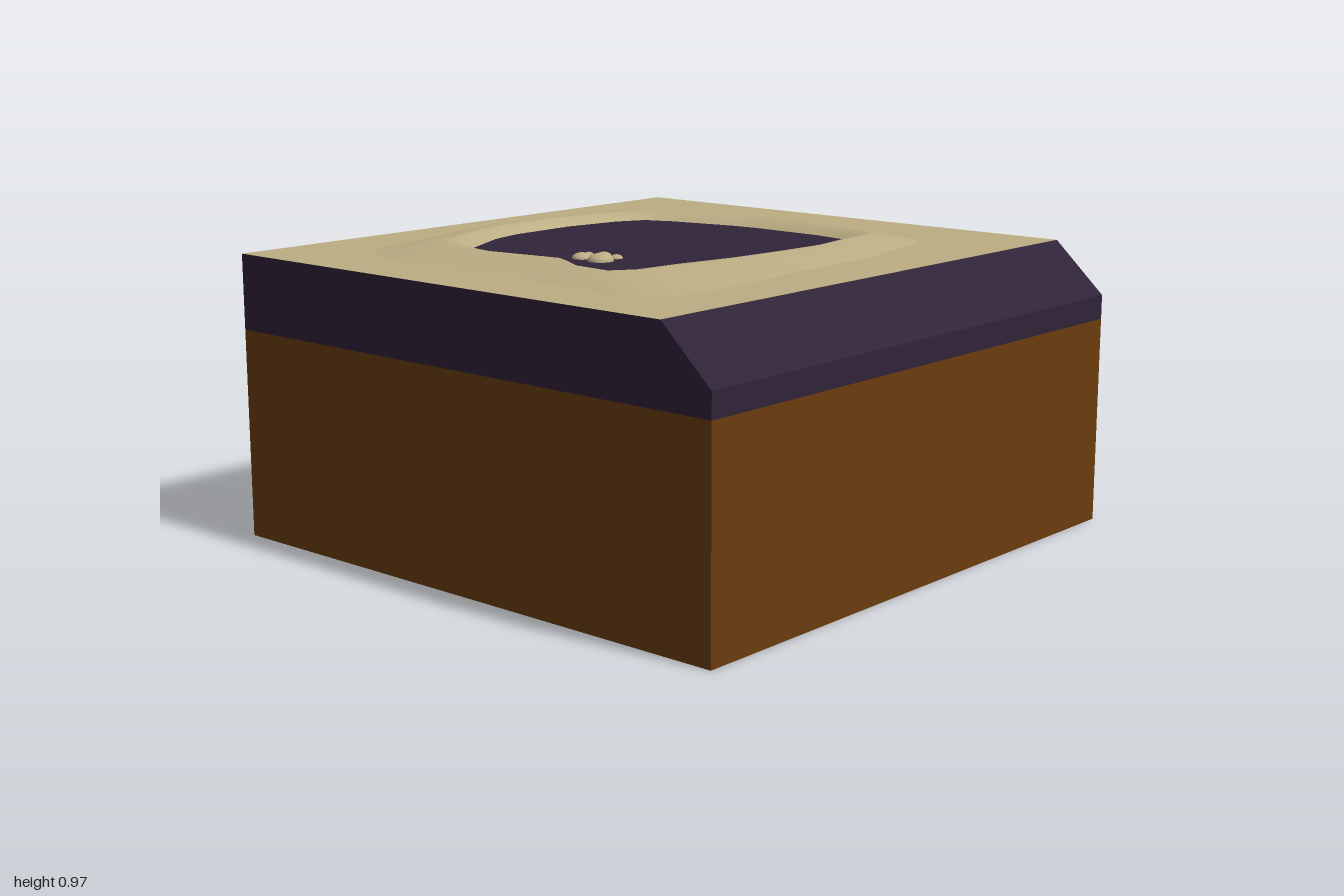
import * as THREE from 'three';

const W = 0.99, D = 1, BAND = 0.69, TOP = 0.938, CHAMFER_X = 0.81, CHAMFER_Y = 0.77;

const mat = (name, color) => {
  const m = new THREE.MeshStandardMaterial({ color, side: THREE.DoubleSide });
  m.name = name;
  return m;
};

// Paired points [innerX, innerZ, outerX, outerZ] around the pool and its rim
const RIM = [
  [-0.55, -0.44, -0.70, -0.65], [-0.45, -0.48, -0.60, -0.73], [-0.22, -0.53, -0.27, -0.82],
  [-0.12, -0.54, -0.08, -0.81], [0.15, -0.535, 0.20, -0.76], [0.30, -0.51, 0.46, -0.69],
  [0.34, -0.45, 0.50, -0.64], [0.35, -0.32, 0.54, -0.42], [0.365, -0.20, 0.58, -0.25],
  [0.35, -0.02, 0.58, 0.0], [0.32, 0.17, 0.59, 0.25], [0.26, 0.36, 0.61, 0.50],
  [0.235, 0.51, 0.61, 0.70], [0.20, 0.575, 0.50, 0.80], [0.11, 0.565, 0.20, 0.79],
  [-0.02, 0.48, 0.0, 0.75], [-0.26, 0.52, -0.36, 0.80], [-0.41, 0.495, -0.58, 0.77],
  [-0.50, 0.45, -0.74, 0.66], [-0.60, 0.25, -0.80, 0.40], [-0.63, 0.12, -0.87, 0.12],
  [-0.635, -0.13, -0.84, -0.13], [-0.60, -0.34, -0.75, -0.45],
];

// Cross-section of the rim: [blend from inner to outer outline, height]
const PROFILE = [[0, 0.941], [0.1, 0.957], [0.22, 0.969], [0.32, 0.971], [0.6, 0.958], [1, TOP]];

function rimGeometry() {
  const pos = [], idx = [], n = RIM.length;
  for (const [t, y] of PROFILE)
    for (const [ix, iz, ox, oz] of RIM)
      pos.push(ix + (ox - ix) * t, y, iz + (oz - iz) * t);
  for (let r = 0; r < PROFILE.length - 1; r++)
    for (let i = 0; i < n; i++) {
      const a = r * n + i, b = r * n + (i + 1) % n, c = a + n, d = b + n;
      idx.push(a, b, c, b, d, c);
    }
  const g = new THREE.BufferGeometry();
  g.setAttribute('position', new THREE.Float32BufferAttribute(pos, 3));
  // Wind so that faces look upwards
  g.setIndex(idx.reverse());
  g.computeVertexNormals();
  return g;
}

export function createModel() {
  const group = new THREE.Group();
  const brown = mat('brown earth', 0x6a3c0e);
  const purple = mat('dark purple', 0x302439);
  const sand = mat('sand', 0xbcad83);

  const add = (name, geometry, material) => {
    const mesh = new THREE.Mesh(geometry, material);
    mesh.name = name;
    group.add(mesh);
    return mesh;
  };

  // Upright panel between two heights, facing outwards
  const panel = (name, width, y0, y1, dist, angle, material) => {
    const g = new THREE.PlaneGeometry(width, y1 - y0);
    g.translate(0, (y0 + y1) / 2, dist).rotateY(angle);
    add(name, g, material);
  };

  // Hollow lower walls, open underneath
  panel('lowerFrontWall', 2 * W, 0, BAND, D, 0, brown);
  panel('lowerLeftWall', 2 * D, 0, BAND, W, Math.PI / 2, brown);
  panel('lowerBackWall', 2 * W, 0, BAND, D, Math.PI, brown);
  panel('lowerRightWall', 2 * D, 0, BAND, W, -Math.PI / 2, brown);

  // Upper band with one cut-off corner
  panel('upperRightWall', 2 * D, BAND, TOP, W, -Math.PI / 2, purple);
  panel('upperLeftWall', 2 * D, BAND, CHAMFER_Y, W, Math.PI / 2, purple);
  const outline = [[-W, BAND], [W, BAND], [W, CHAMFER_Y], [CHAMFER_X, TOP], [-W, TOP]];
  for (const [name, side] of [['upperFrontWall', 1], ['upperBackWall', -1]]) {
    const shape = new THREE.Shape(outline.map(([x, y]) => new THREE.Vector2(x * side, y)));
    const g = new THREE.ShapeGeometry(shape);
    if (side < 0) g.rotateY(Math.PI);
    g.translate(0, 0, D * side);
    add(name, g, purple);
  }
  const run = W - CHAMFER_X, rise = TOP - CHAMFER_Y;
  const slope = new THREE.PlaneGeometry(Math.hypot(run, rise), 2 * D);
  slope.rotateX(-Math.PI / 2).rotateZ(-Math.atan2(rise, run));
  slope.translate((W + CHAMFER_X) / 2, (TOP + CHAMFER_Y) / 2, 0);
  add('slopedEdge', slope, purple);

  // Sandy top sheet
  const top = new THREE.PlaneGeometry(W + CHAMFER_X, 2 * D);
  top.rotateX(-Math.PI / 2).translate((CHAMFER_X - W) / 2, TOP, 0);
  add('sandTop', top, sand);

  // Raised rim and the dark pool inside it
  add('poolRim', rimGeometry(), sand);
  const poolShape = new THREE.Shape(RIM.map(([x, z]) => new THREE.Vector2(x, -z)));
  const pool = new THREE.ShapeGeometry(poolShape);
  pool.rotateX(-Math.PI / 2).translate(0, 0.942, 0);
  add('pool', pool, purple);

  // Cluster of pebbles in the pool: [x, z, radius]
  const pebbles = [
    [0, 0.372, 0.042], [-0.082, 0.372, 0.032], [-0.055, 0.3, 0.026],
    [-0.12, 0.3, 0.015], [0, 0.3, 0.021], [-0.062, 0.335, 0.014],
  ];
  for (const [x, z, r] of pebbles) {
    const pebble = add('pebble', new THREE.SphereGeometry(r, 20, 12), sand);
    pebble.scale.y = 0.6;
    pebble.position.set(x, 0.942, z);
  }

  return group;
}
